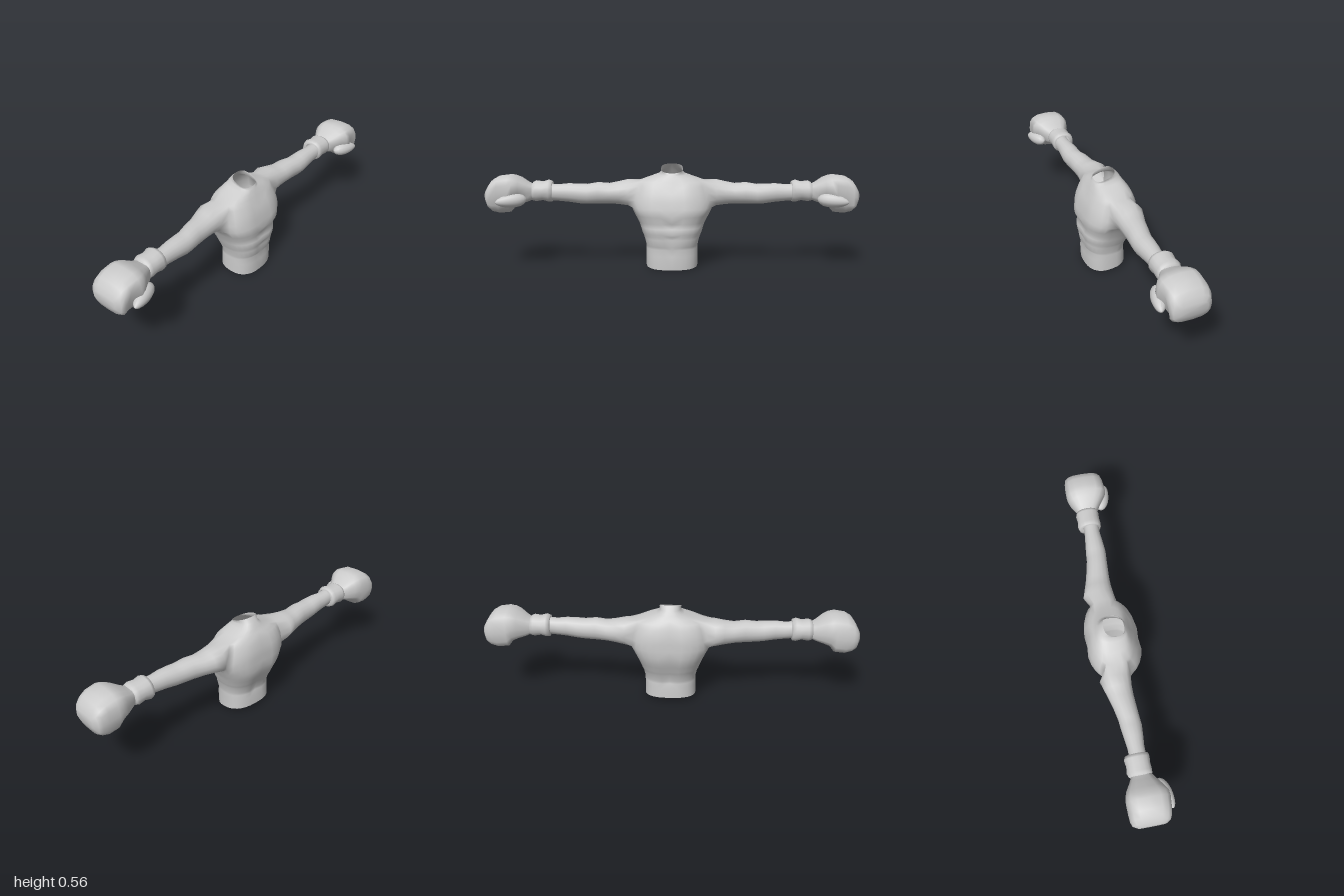
import * as THREE from 'three';
import { mergeGeometries, mergeVertices } from 'three/addons/utils/BufferGeometryUtils.js';

const SIDES = 16;
const HALF = 14;                 // segments round half the torso, front to back
const HOLE = [5, 9];             // columns left open for the arm

// Horizontal torso sections: y, half width, front z, back z, tilt
const TORSO = [
  [0.015, 0.140, 0.124, -0.095, -0.12],
  [0.08, 0.140, 0.127, -0.093, -0.05],
  [0.11, 0.140, 0.120, -0.091, 0],
  [0.125, 0.140, 0.130, -0.090, 0],
  [0.165, 0.149, 0.136, -0.103, 0],
  [0.18, 0.155, 0.133, -0.110, 0],
  [0.195, 0.161, 0.142, -0.116, 0],
  [0.225, 0.171, 0.141, -0.128, 0],
  [0.25, 0.180, 0.131, -0.138, 0],
  [0.29, 0.200, 0.150, -0.149, 0],
  [0.33, 0.220, 0.142, -0.148, 0],
  [0.37, 0.217, 0.134, -0.147, 0],
  [0.41, 0.208, 0.121, -0.143, 0],
  [0.445, 0.196, 0.103, -0.130, 0],
  [0.47, 0.185, 0.088, -0.117, 0],
  [0.49, 0.130, 0.076, -0.102, 0],
  [0.507, 0.075, 0.070, -0.088, -0.05],
  [0.52, 0.054, 0.067, -0.074, -0.2],
  [0.54, 0.059, 0.060, -0.050, -0.38],
];
const HOLE_ROWS = [10, 14];

// Limb sections: x, bottom y, top y, back z, front z
const ARM = [
  [0.24, 0.330, 0.476, -0.115, 0.050],
  [0.29, 0.338, 0.465, -0.100, 0.045],
  [0.34, 0.343, 0.456, -0.085, 0.045],
  [0.40, 0.343, 0.462, -0.070, 0.048],
  [0.46, 0.343, 0.453, -0.058, 0.052],
  [0.50, 0.346, 0.455, -0.055, 0.055],
  [0.56, 0.355, 0.457, -0.048, 0.050],
  [0.61, 0.360, 0.452, -0.042, 0.045],
  [0.67, 0.365, 0.455, -0.040, 0.045],
];
const CUFF = [
  [0.648, 0.368, 0.458, -0.045, 0.045],
  [0.650, 0.357, 0.468, -0.064, 0.056],
  [0.668, 0.355, 0.476, -0.071, 0.059],
  [0.70, 0.364, 0.466, -0.066, 0.056],
  [0.735, 0.358, 0.472, -0.070, 0.058],
  [0.752, 0.362, 0.464, -0.064, 0.056],
  [0.762, 0.372, 0.448, -0.045, 0.045],
];
const GLOVE = [
  [0.75, 0.370, 0.450, -0.050, 0.050],
  [0.78, 0.358, 0.464, -0.066, 0.070],
  [0.82, 0.347, 0.490, -0.090, 0.100],
  [0.85, 0.335, 0.501, -0.100, 0.119],
  [0.875, 0.302, 0.507, -0.102, 0.123],
  [0.93, 0.296, 0.500, -0.101, 0.118],
  [0.965, 0.310, 0.480, -0.098, 0.110],
  [0.985, 0.328, 0.452, -0.090, 0.100],
  [1.00, 0.365, 0.425, -0.065, 0.075],
];

const sp = (v, p) => Math.sign(v) * Math.abs(v) ** p;

// Ring of points round the x axis, starting at the lower front
function ring([x, yb, yt, zb, zf], p) {
  return Array.from({ length: SIDES }, (_, k) => {
    const a = Math.PI * 1.25 + (k / SIDES) * Math.PI * 2;
    return [x, (yb + yt) / 2 + sp(Math.sin(a), p) * (yt - yb) / 2,
      (zf + zb) / 2 - sp(Math.cos(a), p) * (zf - zb) / 2];
  });
}

// Adds rings to a mesh under construction and joins them to the loop before
function addRings(pos, idx, loop, sections, p, close = false) {
  for (const s of sections) {
    const next = ring(s, p).map((v) => pos.push(v) - 1);
    if (loop) next.forEach((n, k) => {
      const j = (k + 1) % SIDES;
      idx.push(loop[k], loop[j], next[j], loop[k], next[j], n);
    });
    loop = next;
  }
  if (close) {
    const [x, yb, yt, zb, zf] = sections.at(-1);
    const c = pos.push([x, (yb + yt) / 2, (zb + zf) / 2]) - 1;
    loop.forEach((n, k) => idx.push(n, loop[(k + 1) % SIDES], c));
  }
}

function build(pos, idx) {
  const g = new THREE.BufferGeometry();
  g.setAttribute('position', new THREE.Float32BufferAttribute(pos.flat(), 3));
  g.setIndex(idx);
  g.computeVertexNormals();
  return g;
}

function mirror(geo) {
  const g = geo.clone().scale(-1, 1, 1);
  const a = g.index.array;
  for (let i = 0; i < a.length; i += 3) [a[i + 1], a[i + 2]] = [a[i + 2], a[i + 1]];
  g.computeVertexNormals();
  return g;
}

// Half the torso with one arm growing from the shoulder opening
function halfBody() {
  const pos = [], idx = [];
  const id = (r, i) => r * (HALF + 1) + i;
  const [c0, c1] = HOLE, [r0, r1] = HOLE_ROWS;
  TORSO.forEach(([y, w, zf, zb, tilt], r) => {
    for (let i = 0; i <= HALF; i++) {
      const t = (i / HALF) * Math.PI;
      let z = (zf + zb) / 2 + sp(Math.cos(t), 0.8) * (zf - zb) / 2;
      // grooves down the breastbone and the spine
      if (i === 0 && y > 0.11 && y < 0.46) z -= 0.008;
      if (i === HALF && y > 0.1 && y < 0.46) z += 0.008;
      const x = i % HALF ? w * sp(Math.sin(t), 0.8) : 0;
      pos.push([x, y + tilt * z, z]);
      const inHole = r >= r0 && r < r1 && i >= c0 && i < c1;
      if (r < TORSO.length - 1 && i < HALF && !inHole) {
        const a = id(r, i), b = id(r, i + 1), c = id(r + 1, i + 1), d = id(r + 1, i);
        idx.push(a, b, c, a, c, d);
      }
    }
  });
  const loop = [];
  for (let i = c0; i < c1; i++) loop.push(id(r0, i));
  for (let r = r0; r < r1; r++) loop.push(id(r, c1));
  for (let i = c1; i > c0; i--) loop.push(id(r1, i));
  for (let r = r1; r > r0; r--) loop.push(id(r, c0));
  addRings(pos, idx, loop, ARM, 0.95);
  return build(pos, idx);
}

function limb(sections, p, close, shape) {
  const pos = [], idx = [];
  addRings(pos, idx, null, sections, p, close);
  if (shape) pos.forEach(shape);
  return build(pos, idx);
}

// Hollow of the palm under the thumb
function palm(v) {
  if (v[2] > 0.03 && v[1] < 0.4 && v[0] > 0.8 && v[0] < 0.95) v[2] -= 0.025;
}

// Thumb: a tapered egg lying along the palm
function thumb() {
  const g = new THREE.SphereGeometry(1, 14, 10).rotateZ(-Math.PI / 2);
  const p = g.attributes.position;
  for (let i = 0; i < p.count; i++) {
    const k = 1 - 0.2 * p.getX(i);
    p.setXYZ(i, p.getX(i) * 0.082, p.getY(i) * 0.036 * k, p.getZ(i) * 0.036 * k);
  }
  g.rotateY(-0.32).rotateZ(-0.08).translate(0.855, 0.375, 0.102);
  g.computeVertexNormals();
  return g;
}

export function createModel() {
  const model = new THREE.Group();
  model.name = 'boxerTorso';
  const mat = new THREE.MeshStandardMaterial({ color: 0xcccccc, side: THREE.DoubleSide });
  const add = (parent, name, geo) => {
    const m = new THREE.Mesh(geo, mat);
    m.name = name;
    parent.add(m);
  };

  // Torso and arms as one welded skin, open at neck and waist
  const half = halfBody();
  const both = mergeGeometries([half, mirror(half)]);
  both.deleteAttribute('normal');
  const body = mergeVertices(both, 1e-5);
  body.computeVertexNormals();
  add(model, 'torsoAndArms', body);

  // Boxing gloves
  const parts = { Cuff: limb(CUFF, 0.9), Fist: limb(GLOVE, 0.68, true, palm), Thumb: thumb() };
  for (const side of ['left', 'right']) {
    const glove = new THREE.Group();
    glove.name = side + 'Glove';
    for (const [name, geo] of Object.entries(parts)) {
      add(glove, side + name, side === 'left' ? geo : mirror(geo));
    }
    model.add(glove);
  }
  return model;
}
